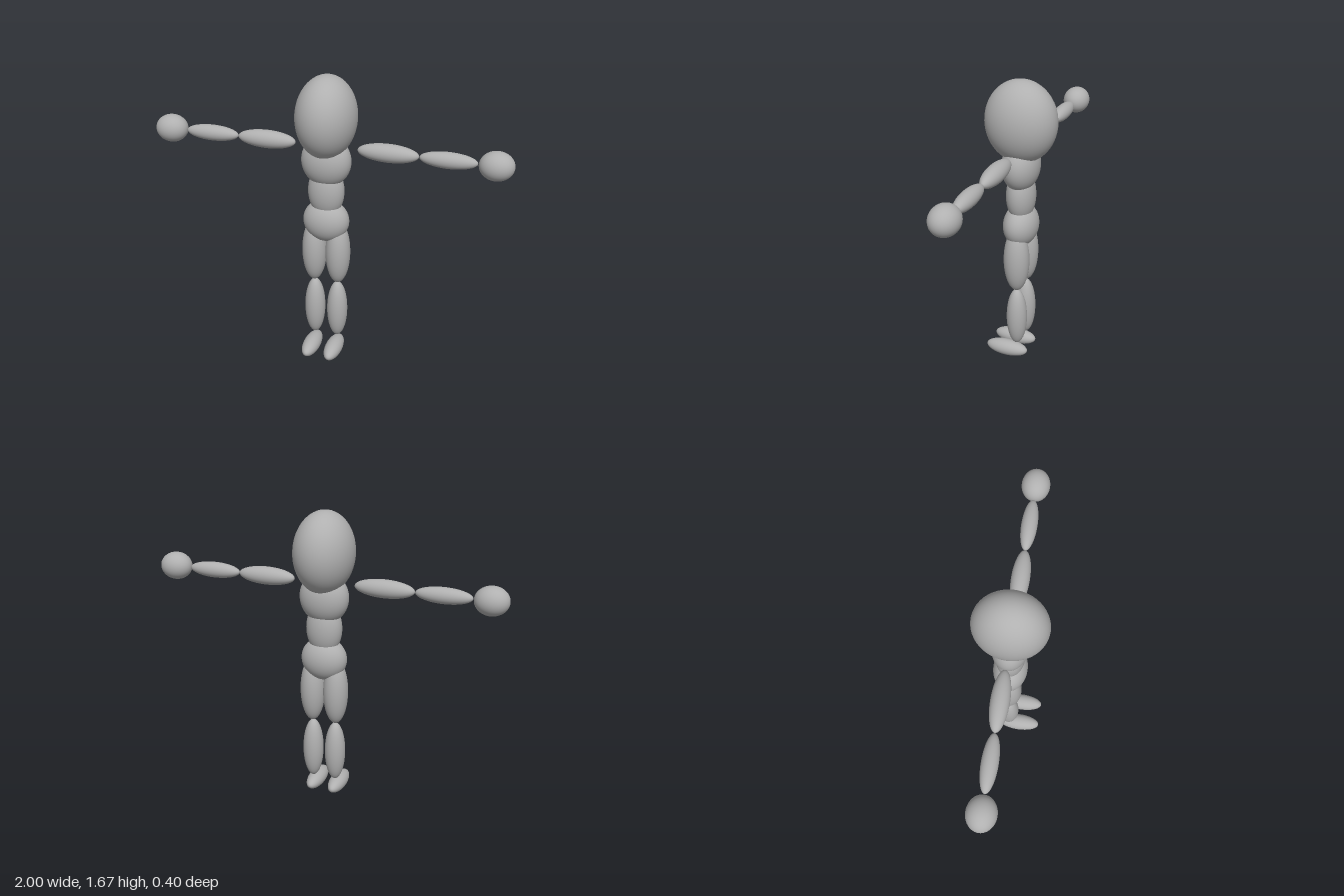
import * as THREE from 'three';

export function createModel() {
  const model = new THREE.Group();
  const grey = new THREE.MeshStandardMaterial({ color: 0xb0b0b0 });
  grey.name = 'plain grey';

  // One unit sphere, stretched into every body segment
  const sphere = new THREE.SphereGeometry(1, 48, 32);
  const ellipsoid = (name, centre, radii, parent = model) => {
    const mesh = new THREE.Mesh(sphere, grey);
    mesh.name = name;
    mesh.position.set(...centre);
    mesh.scale.set(...radii);
    parent.add(mesh);
  };

  // Head and trunk
  ellipsoid('head', [0, 1.448, 0], [0.165, 0.227, 0.2]);
  ellipsoid('chest', [0, 1.2, 0], [0.139, 0.146, 0.102]);
  ellipsoid('waist', [0, 1.022, 0], [0.102, 0.155, 0.08]);
  ellipsoid('pelvis', [0, 0.843, 0], [0.131, 0.123, 0.096]);

  // Limbs, mirrored left and right
  for (const [side, s] of [['left', 1], ['right', -1]]) {
    const arm = new THREE.Group();
    arm.name = side + 'Arm';
    ellipsoid(side + 'UpperArm', [s * 0.34, 1.284, 0], [0.166, 0.05, 0.05], arm);
    ellipsoid(side + 'Forearm', [s * 0.66, 1.284, 0], [0.153, 0.044, 0.044], arm);
    ellipsoid(side + 'Hand', [s * 0.908, 1.284, 0], [0.092, 0.078, 0.078], arm);

    const leg = new THREE.Group();
    leg.name = side + 'Leg';
    ellipsoid(side + 'Thigh', [s * 0.069, 0.65, 0], [0.07, 0.193, 0.073], leg);
    ellipsoid(side + 'Shin', [s * 0.067, 0.278, 0], [0.059, 0.179, 0.059], leg);
    ellipsoid(side + 'Foot', [s * 0.067, 0.047, 0.063], [0.049, 0.047, 0.126], leg);
    model.add(arm, leg);
  }
  return model;
}
